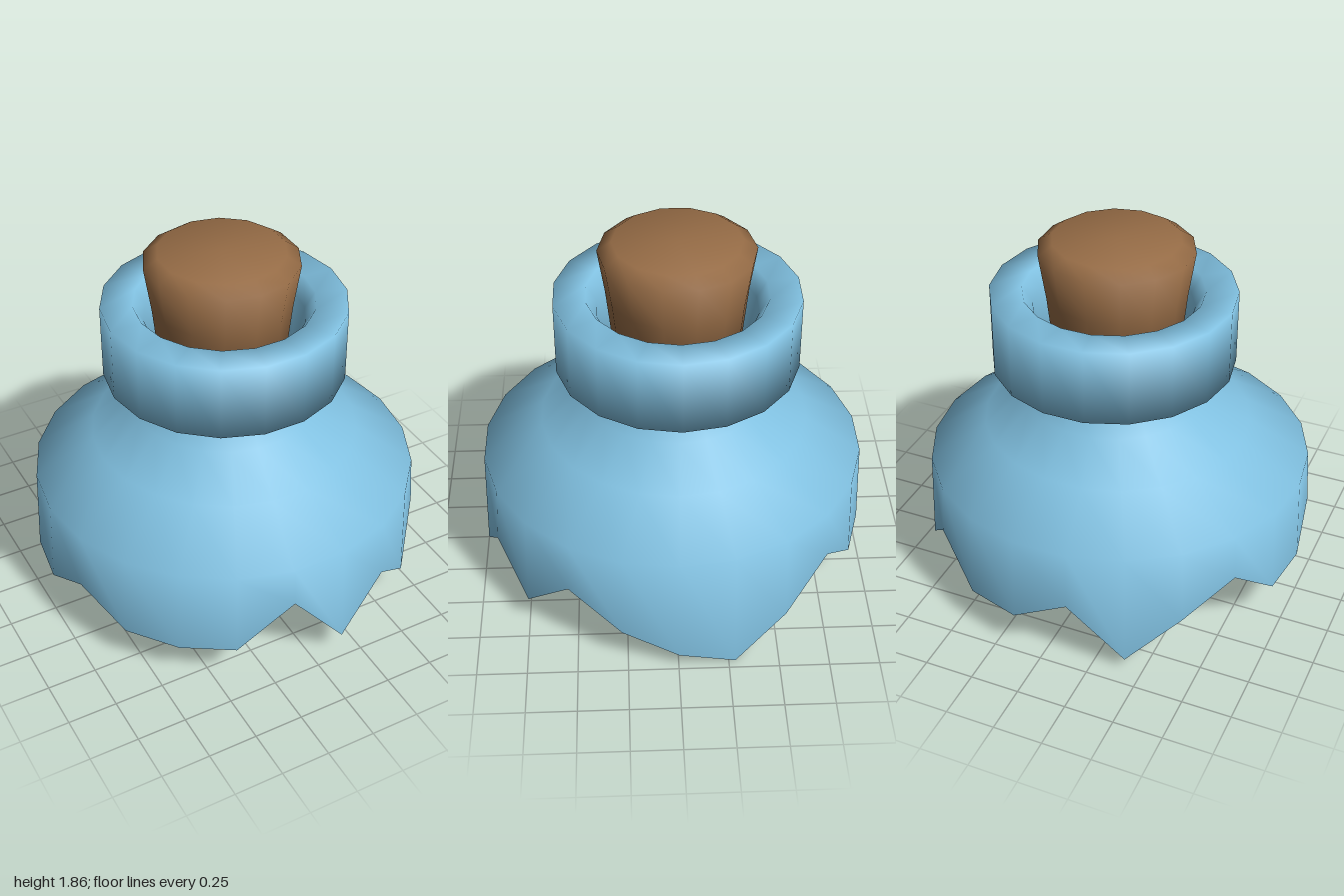
import * as THREE from 'three';
import { toCreasedNormals } from 'three/addons/utils/BufferGeometryUtils.js';

const glass = new THREE.MeshStandardMaterial({ color: 0x80c0e0 });
glass.name = 'blueGlass';
const corkBrown = new THREE.MeshStandardMaterial({ color: 0x966c46 });
corkBrown.name = 'corkBrown';

const lathe = (profile, sides, start) =>
  new THREE.LatheGeometry(profile.map(([r, y]) => new THREE.Vector2(r, y)), sides, start);

function part(name, geometry, material, crease) {
  const mesh = new THREE.Mesh(toCreasedNormals(geometry, crease), material);
  mesh.name = name;
  return mesh;
}

// Height of the broken edge at each of the 22 corners, from +x round by +z
const JAGS = [0.09, 0.22, 0.41, 0.165, 0.37, 0.13, 0.475, 0.22, 0.215, 0.23, 0.38,
  0.23, 0.22, 0.44, 0.28, 0.065, 0.375, 0.22, 0.22, 0.42, 0.2, 0];

// Thick-walled shell: down the inside, across the broken rim, up the outside
function brokenBody() {
  const profile = [
    [0.33, 1.22], [0.34, 1.15], [0.44, 0.99], [0.64, 0.82], [0.93, 0.64], [0.93, 0],
    [0.995, 0], [0.978, 0.67], [0.68, 0.86], [0.478, 1.02], [0.36, 1.18], [0.35, 1.22],
  ];
  const sides = JAGS.length;
  const geometry = lathe(profile, sides, Math.PI / 2);
  const pos = geometry.attributes.position;
  for (let i = 0; i < pos.count; i++) {
    const row = i % profile.length;
    const column = Math.floor(i / profile.length);
    if (row === 5 || row === 6) pos.setY(i, JAGS[(2 * sides - column) % sides]);
    // the neck leans slightly off the axis
    const lean = THREE.MathUtils.clamp((pos.getY(i) - 0.67) / 0.5, 0, 1);
    pos.setX(i, pos.getX(i) + 0.02 * lean);
    pos.setZ(i, pos.getZ(i) - 0.025 * lean - 0.003);
  }
  return geometry;
}

export function createModel() {
  const group = new THREE.Group();
  group.name = 'brokenBottle';

  group.add(part('brokenBody', brokenBody(), glass, 1.2));

  // Heavy lip round the neck
  const lip = part('neckLip', lathe([
    [0.4, 1.5], [0.34, 1.2], [0.36, 1.175], [0.61, 1.2],
    [0.61, 1.585], [0.45, 1.585], [0.4, 1.5],
  ], 18, Math.PI / 2), glass, 1.7);
  lip.position.set(0.02, 0, -0.03);
  group.add(lip);

  // Tapered stopper with a bevelled top
  const cork = part('cork', lathe([
    [0, 1.2], [0.31, 1.2], [0.35, 1.585], [0.385, 1.815], [0.315, 1.863], [0, 1.863],
  ], 14, 0), corkBrown, 1.7);
  cork.position.set(0.005, 0, -0.03);
  group.add(cork);

  return group;
}
